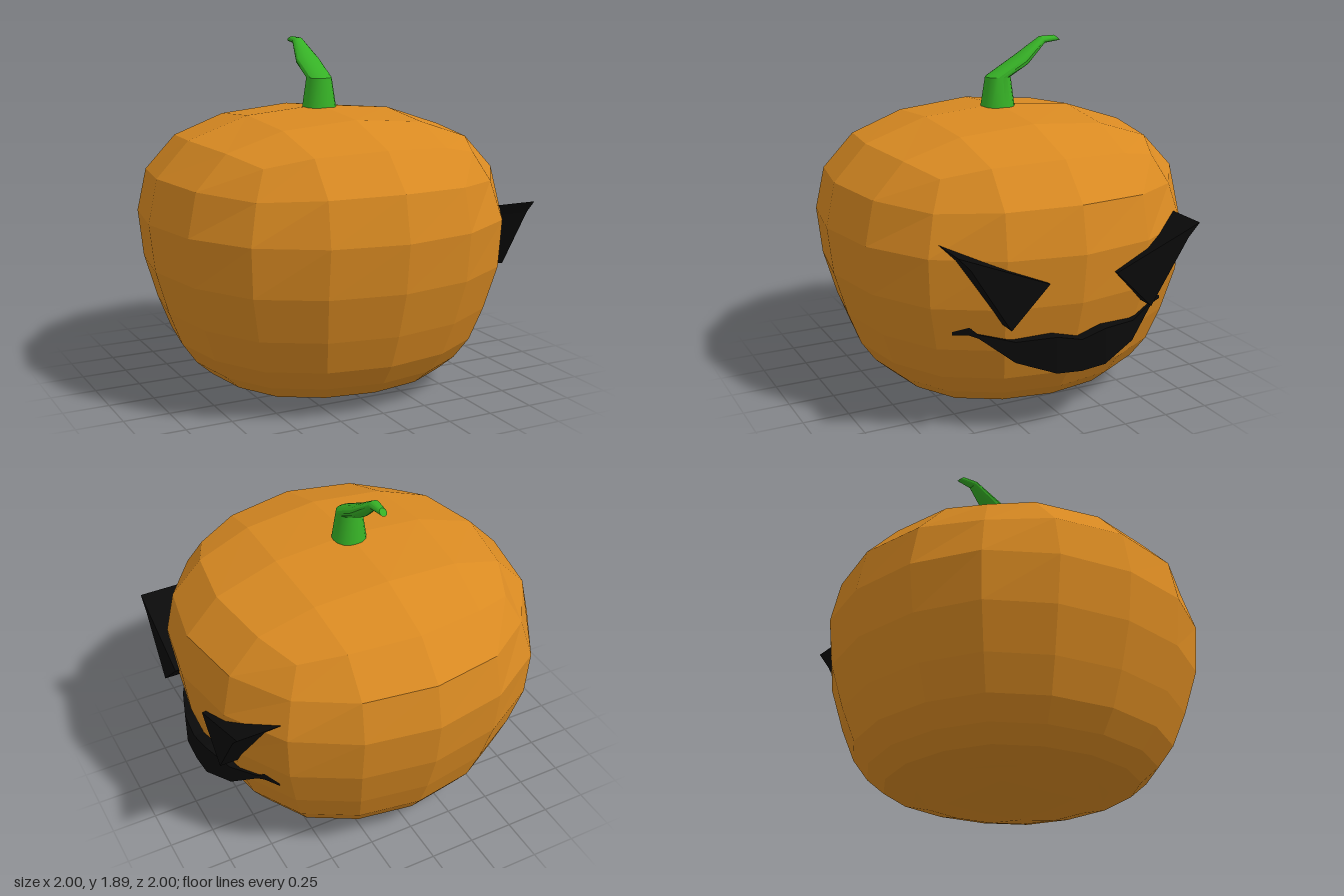
import * as THREE from 'three';
import { toCreasedNormals } from 'three/addons/utils/BufferGeometryUtils.js';

const V = (x, y, z) => new THREE.Vector3(x, y, z);

function toGeometry(tris) {
  const geo = new THREE.BufferGeometry().setFromPoints(tris);
  geo.computeVertexNormals();
  return geo;
}

function addQuad(tris, a, b, c, d, flip = false) {
  if (flip) tris.push(a, c, b, a, d, c);
  else tris.push(a, b, c, a, c, d);
}

// Joins equal-sized rings; each ring turns right-handed about the loft direction
function loftSides(tris, rings) {
  for (let r = 0; r < rings.length - 1; r++) {
    const A = rings[r], B = rings[r + 1], n = A.length;
    for (let k = 0; k < n; k++) {
      const j = (k + 1) % n;
      addQuad(tris, A[k], A[j], B[j], B[k]);
    }
  }
}

function loftClosed(rings) {
  const tris = [];
  loftSides(tris, rings);
  [rings[0], rings[rings.length - 1]].forEach((ring, end) => {
    const mid = V(0, 0, 0);
    ring.forEach((p) => mid.addScaledVector(p, 1 / ring.length));
    ring.forEach((p, k) => {
      const q = ring[(k + 1) % ring.length];
      if (end) tris.push(mid, p, q);
      else tris.push(mid, q, p);
    });
  });
  return toGeometry(tris);
}

const turn = (p, quarter) => {
  const q = p.clone();
  for (let i = 0; i < quarter; i++) q.set(-q.z, q.y, q.x);
  return q;
};

// Rounded-cube body: 16-sided rings, closed by 4 x 4 patches
function bodyGeometry() {
  const ring = (mid, along, across, corner, yMid, yQuarter = yMid, yCorner = yMid) => {
    const base = [V(mid, yMid, 0), V(along, yQuarter, across),
      V(corner, yCorner, corner), V(across, yQuarter, along)];
    return Array.from({ length: 16 }, (_, k) => turn(base[k % 4], Math.floor(k / 4)));
  };
  const rings = [
    ring(0.77, 0.71, 0.38, 0.61, 1.39, 1.37, 1.32),
    ring(0.95, 0.88, 0.39, 0.68, 1.2, 1.19, 1.17),
    ring(1, 0.93, 0.4, 0.73, 0.96),
  ];
  const lower = [[0.97, 0.7], [0.9, 0.46], [0.83, 0.28], [0.75, 0.165], [0.66, 0.085], [0.5, 0.04]];
  for (const [r, y] of lower) rings.push(ring(r, r * 0.93, r * 0.41, r * 0.74, y));

  const tris = [];
  loftSides(tris, rings);
  const cap = (outer, mid, corner, centre, flip) => {
    const inner = Array.from({ length: 8 }, (_, k) => turn(k % 2 ? corner : mid, k >> 1));
    for (let s = 0; s < 4; s++) {
      const o = (k) => outer[(s * 4 + k) % 16];
      const i = (k) => inner[(s * 2 + k) % 8];
      addQuad(tris, o(0), o(1), i(1), i(0), flip);
      addQuad(tris, o(1), o(2), o(3), i(1), flip);
      addQuad(tris, o(3), o(4), i(2), i(1), flip);
      addQuad(tris, i(0), i(1), i(2), centre, flip);
    }
  };
  cap(rings[0], V(0.43, 1.505, 0), V(0.41, 1.47, 0.41), V(0, 1.54, 0), true);
  cap(rings[rings.length - 1], V(0.26, 0.01, 0), V(0.25, 0.015, 0.25), V(0, 0, 0), false);
  return toGeometry(tris);
}

// Bent stem: [half width, front y, front z, back y, back z], tip to base
function stemGeometry() {
  const sections = [
    [0.02, 1.895, -0.345, 1.865, -0.38],
    [0.032, 1.893, -0.26, 1.855, -0.285],
    [0.07, 1.8, -0.12, 1.745, -0.17],
    [0.07, 1.69, 0.068, 1.69, -0.072],
    [0.095, 1.52, 0.095, 1.52, -0.095],
  ];
  const rings = sections.map(([w, y1, z1, y2, z2]) => Array.from({ length: 16 }, (_, k) => {
    const a = (k / 16) * Math.PI * 2, s = Math.sin(a);
    return V(Math.cos(a) * w, (y1 + y2) / 2 + s * (y1 - y2) / 2, (z1 + z2) / 2 + s * (z1 - z2) / 2);
  }));
  return toCreasedNormals(loftClosed(rings), 0.5);
}

// Slanted eye: a flat-fronted prism along x
function eyeGeometry(side) {
  const outline = [[1.03, 0.68], [0.96, 0.615], [0.62, 0.4], [0.83, 0.19]];
  if (side < 0) outline.reverse();
  return loftClosed([0.68, 0.975].map((x) => outline.map(([y, z]) => V(x, y, z * side))));
}

// Grin wrapped round the body: [z, top, bottom, outer x]
function mouthGeometry() {
  const half = [
    [0.14, 0.54, 0.345, 0.965], [0.34, 0.525, 0.415, 0.9], [0.5, 0.56, 0.54, 0.81],
    [0.54, 0.597, 0.555, 0.785], [0.61, 0.577, 0.55, 0.735],
  ];
  const sections = [
    ...half.map(([z, ...rest]) => [-z, ...rest]).reverse(),
    [0, 0.505, 0.335, 0.97],
    ...half,
  ];
  return loftClosed(sections.map(([z, top, bottom, x]) => [
    V(x - 0.13, bottom - 0.005, z), V(x, bottom, z), V(x, top, z), V(x - 0.13, top, z),
  ]));
}

export function createModel() {
  const model = new THREE.Group();
  model.name = 'carvedPumpkin';
  const orange = new THREE.MeshStandardMaterial({ color: 0xd98a22, flatShading: true });
  const green = new THREE.MeshStandardMaterial({ color: 0x36b126 });
  const black = new THREE.MeshStandardMaterial({ color: 0x0a0a0a, flatShading: true });

  const add = (name, geometry, material) => {
    const mesh = new THREE.Mesh(geometry, material);
    mesh.name = name;
    model.add(mesh);
  };
  add('body', bodyGeometry(), orange);
  add('stem', stemGeometry(), green);
  add('frontEye', eyeGeometry(1), black);
  add('backEye', eyeGeometry(-1), black);
  add('mouth', mouthGeometry(), black);
  return model;
}
